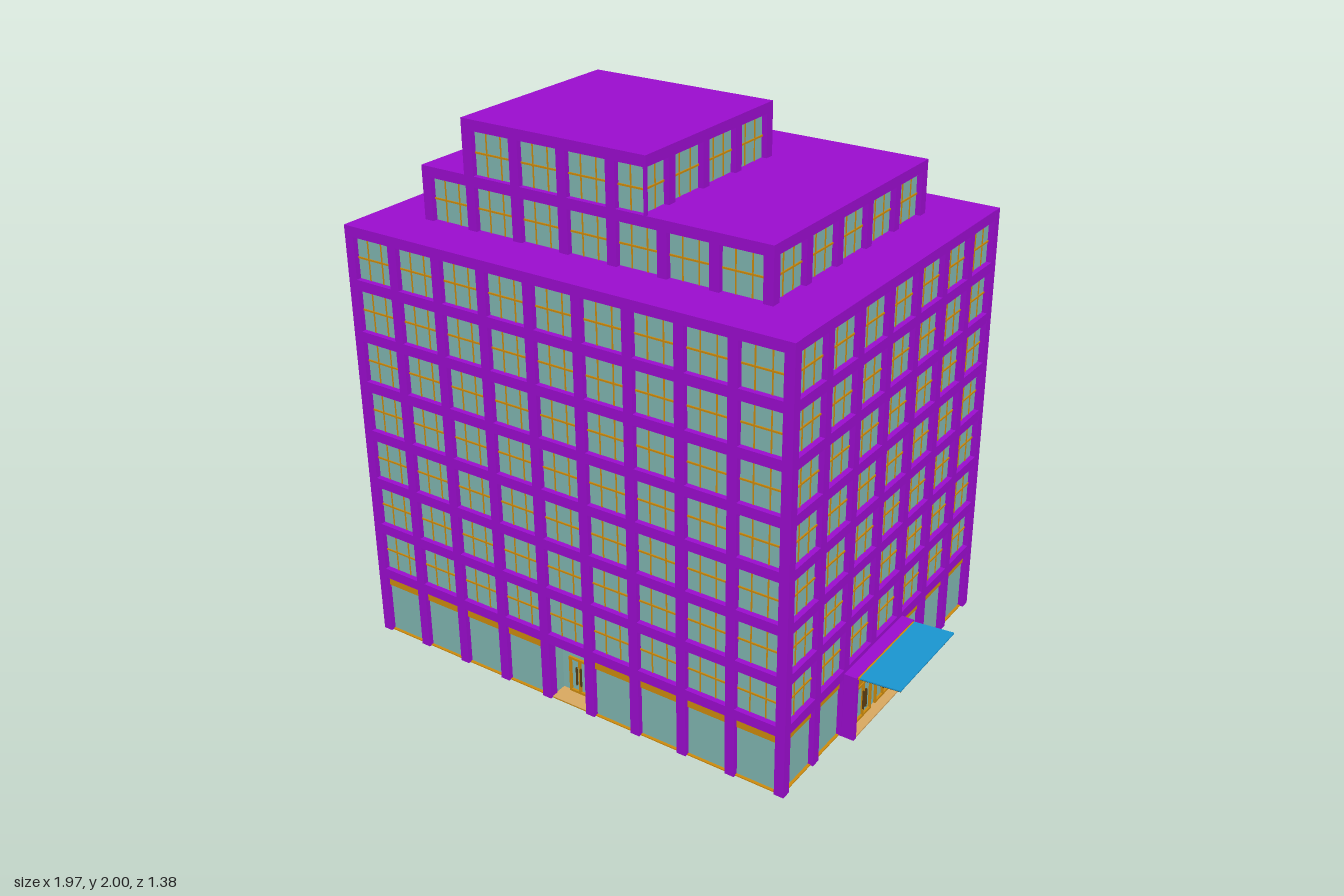
import * as THREE from 'three';

const mat = (color) => new THREE.MeshStandardMaterial({ color });
const PURPLE = mat(0x9a0ccd), GLASS = mat(0x7fb5b0), ORANGE = mat(0xcc8a0c);
const TAN = mat(0xd8a860), BLUE = mat(0x1a96d2), BROWN = mat(0x5a3c10);

const PITCH = 0.1918;   // bay width and storey height
const COL = 0.036;      // column width and depth
const SLAB = 0.038;     // floor slab thickness
const INSET = 0.02;     // glass set back from the column faces
const FIRST = 0.255;    // centre of the first slab

// Box given by its low and high corners
function box(group, name, material, [x0, y0, z0], [x1, y1, z1]) {
  const mesh = new THREE.Mesh(new THREE.BoxGeometry(x1 - x0, y1 - y0, z1 - z0), material);
  mesh.position.set((x0 + x1) / 2, (y0 + y1) / 2, (z0 + z1) / 2);
  mesh.name = name;
  group.add(mesh);
  return mesh;
}

const series = (start, count) => Array.from({ length: count }, (_, i) => start + i * PITCH);

// One setback: columns round the edge, full floor slabs, glass core and glazing bars
function tier(name, t) {
  const g = new THREE.Group();
  g.name = name;
  const { x0, x1, z0, z1, xs, zs, base, glassBase, firstSlab, floors } = t;
  const top = FIRST + PITCH * (firstSlab + floors - 1) + SLAB / 2;
  const h = COL / 2;
  for (const x of xs)
    for (const z of [z0 + h, z1 - h])
      box(g, 'column', PURPLE, [x - h, base, z - h], [x + h, top, z + h]);
  for (const z of zs)
    for (const x of [x0 + h, x1 - h])
      box(g, 'column', PURPLE, [x - h, base, z - h], [x + h, top, z + h]);

  // Layer of the plan, shrunk by d on each side
  const layer = (n, m, d, ya, yb) => box(g, n, m, [x0 + d, ya, z0 + d], [x1 - d, yb, z1 - d]);
  layer('glassCore', GLASS, INSET, glassBase, top - 0.01);
  for (let i = 0; i < floors; i++) {
    const y = FIRST + PITCH * (firstSlab + i);
    layer('floorSlab', PURPLE, 0, y - SLAB / 2, y + SLAB / 2);
    if (firstSlab + i === 0) continue;
    const mid = y - PITCH / 2;
    layer('transom', ORANGE, INSET - 0.004, mid - 0.003, mid + 0.003);
    layer('windowHead', ORANGE, INSET - 0.004, y - SLAB / 2 - 0.006, y - SLAB / 2);
  }

  // Glazing bars run right through the core and show on both opposite walls
  const d = INSET - 0.003, r = 0.002;
  for (const x of xs)
    for (const o of [0.066, 0.126])
      if (x + o < x1 - INSET) box(g, 'mullion', ORANGE, [x + o - r, glassBase, z0 + d], [x + o + r, top - 0.01, z1 - d]);
  for (const z of zs)
    for (const o of [0.066, 0.126])
      if (z + o < z1 - INSET) box(g, 'mullion', ORANGE, [x0 + d, glassBase, z + o - r], [x1 - d, top - 0.01, z + o + r]);
  return g;
}

// Ground-floor plan with a notch for the front entrance, extruded upwards
function notchedLayer(name, material, inset, y0, y1) {
  const [l, r, f] = [-0.983 + inset, 0.778 - inset, 0.69 - inset];
  const [a, b, n] = [-0.183, -0.027, f - 0.06];
  const pts = [[l, -f], [r, -f], [r, f], [b, f], [b, n], [a, n], [a, f], [l, f]];
  // Shape y becomes -z after standing the extrusion up
  const shape = new THREE.Shape(pts.map(([x, z]) => new THREE.Vector2(x, -z)));
  const geo = new THREE.ExtrudeGeometry(shape, { depth: y1 - y0, bevelEnabled: false });
  geo.rotateX(-Math.PI / 2);
  const mesh = new THREE.Mesh(geo, material);
  mesh.position.y = y0;
  mesh.name = name;
  return mesh;
}

// Double door facing +z, standing on y = 0
function doubleDoor(width, height) {
  const g = new THREE.Group();
  g.name = 'doubleDoor';
  const w = width / 2, t = 0.009;
  for (const x of [-w, -t / 2, w - t]) box(g, 'doorStile', ORANGE, [x, 0.004, 0], [x + t, height, 0.008]);
  for (const y of [0.006, height - t]) box(g, 'doorRail', ORANGE, [-w, y, 0], [w, y + t, 0.008]);
  for (const x of [-0.011, 0.007]) box(g, 'doorHandle', BROWN, [x, 0.045, 0.008], [x + 0.004, 0.12, 0.015]);
  return g;
}

// Porch on the left wall with two double doors and a tilted canopy
function sideEntrance() {
  const g = new THREE.Group();
  g.name = 'sideEntrance';
  const [z0, z1, x0, x1] = [-0.117, 0.303, 0.74, 0.825];
  box(g, 'porchPost', PURPLE, [x0, 0, z0], [x1, 0.24, z0 + 0.018]);
  box(g, 'porchPost', PURPLE, [x0, 0, z1 - 0.018], [x1, 0.24, z1]);
  box(g, 'porchRoof', PURPLE, [x0, 0.24, z0], [x1, 0.258, z1]);
  box(g, 'porchFloor', TAN, [0.77, 0, z0 + 0.018], [x1 - 0.002, 0.006, z1 - 0.018]);
  box(g, 'porchGlass', GLASS, [x0, 0.006, z0 + 0.018], [0.782, 0.24, z1 - 0.018]);
  box(g, 'porchFascia', ORANGE, [0.782, 0.198, z0 + 0.018], [0.815, 0.24, z1 - 0.018]);
  for (const z of [0.172, 0.024]) {
    const door = doubleDoor(0.116, 0.152);
    door.rotation.y = Math.PI / 2;
    door.position.set(0.782, 0, z);
    g.add(door);
  }
  // Canopy rises slightly outwards, with ribs beneath
  const canopy = new THREE.Group();
  canopy.name = 'canopy';
  box(canopy, 'canopySheet', BLUE, [0.004, 0, -0.202], [0.157, 0.005, 0.202]);
  box(canopy, 'canopyRail', ORANGE, [-0.004, -0.003, -0.202], [0.004, 0.005, 0.202]);
  for (let i = 0; i < 7; i++) {
    const z = -0.195 + i * 0.065;
    box(canopy, 'canopyRib', BROWN, [0.004, -0.004, z - 0.003], [0.155, 0, z + 0.003]);
  }
  canopy.position.set(0.828, 0.251, 0.092);
  canopy.rotation.z = 0.075;
  g.add(canopy);
  return g;
}

export function createModel() {
  const model = new THREE.Group();
  model.name = 'officeBuilding';
  const X = series(-0.965, 10), Z = series(-0.672, 8);

  model.add(tier('mainBlock', {
    x0: -0.983, x1: 0.778, z0: -0.69, z1: 0.69, xs: X, zs: Z,
    base: 0.001, glassBase: 0.25, firstSlab: 0, floors: 8,
  }));
  model.add(tier('middleBlock', {
    x0: -0.791, x1: 0.587, z0: -0.498, z1: 0.498, xs: X.slice(1, 9), zs: Z.slice(1, 7),
    base: 1.6, glassBase: 1.6, firstSlab: 8, floors: 1,
  }));
  const topBlock = tier('topBlock', {
    x0: -0.603, x1: 0.13, z0: -0.236, z1: 0.498, xs: X.slice(2, 6), zs: series(-0.218, 4),
    base: 1.79, glassBase: 1.79, firstSlab: 9, floors: 1,
  });
  // Thin posts where the top block ends partway through a bay
  for (const [x, z] of [[0.12, 0.488], [0.12, -0.236], [-0.603, 0.488]])
    box(topBlock, 'cornerPost', PURPLE, [x, 1.79, z], [x + 0.01, 1.99, z + 0.01]);
  model.add(topBlock);

  // Ground floor: base plate, shop glazing, fascia band
  box(model, 'basePlate', ORANGE, [-0.973, 0, -0.68], [0.768, 0.004, 0.68]);
  box(model, 'entranceFloor', TAN, [-0.183, 0.004, 0.59], [-0.027, 0.006, 0.68]);
  model.add(notchedLayer('shopGlazing', GLASS, INSET, 0.003, 0.25));
  model.add(notchedLayer('fasciaBand', ORANGE, INSET - 0.006, 0.197, 0.237));

  const frontDoor = doubleDoor(0.092, 0.152);
  frontDoor.position.set(-0.105, 0, 0.61);
  model.add(frontDoor, sideEntrance());
  return model;
}
